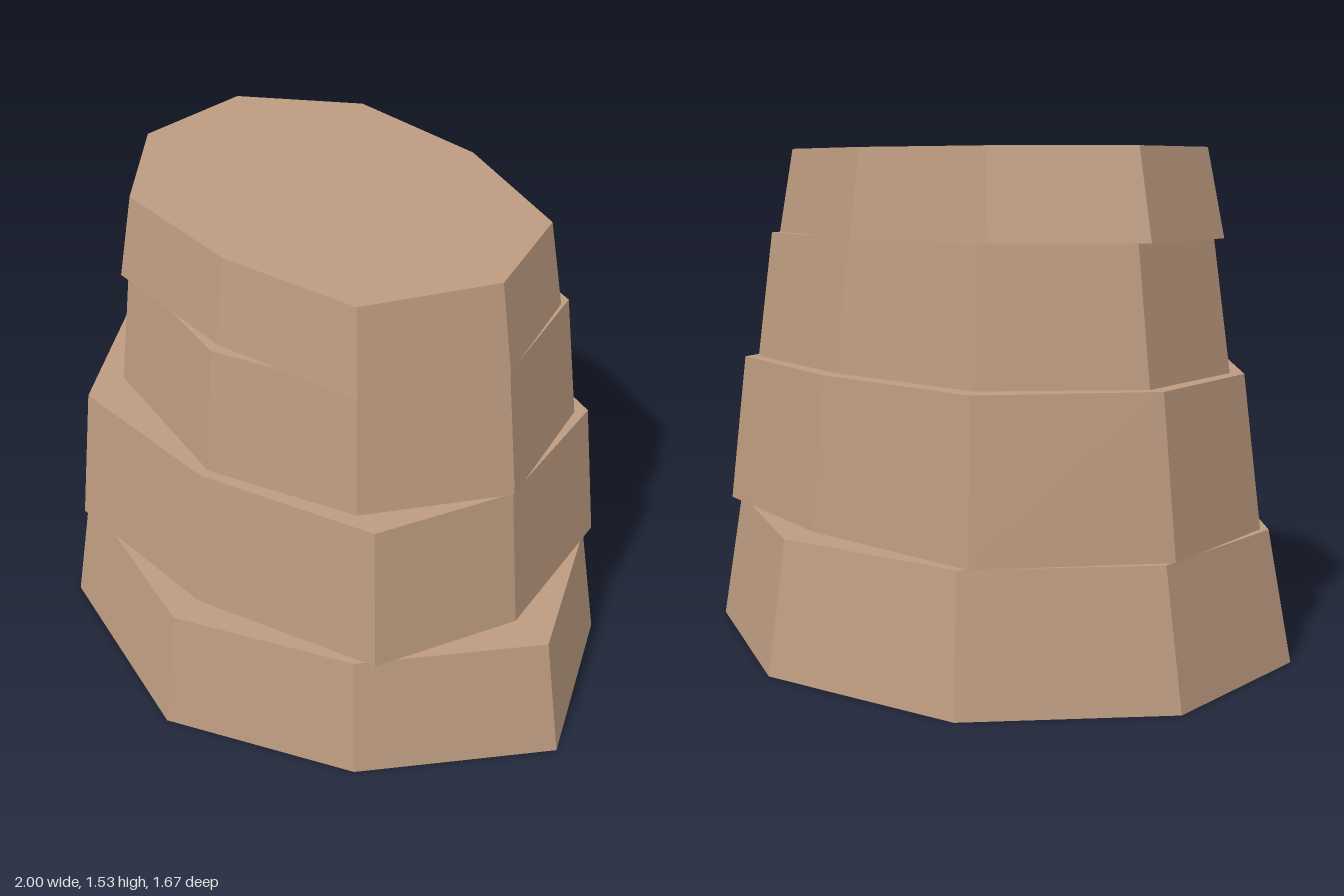
import * as THREE from 'three';

// Each tier: y range, taper toward the top, and its base outline as [x, z] from +x round through +z
const TIERS = [
  { name: 'baseTier', y0: 0, y1: 0.4, taper: 0.925, outline: [
    [1, 0], [0.65, 0.53], [0.1, 0.835], [-0.605, 0.695], [-0.98, 0.295],
    [-1, -0.3], [-0.58, -0.755], [0.08, -0.84], [0.7, -0.505]] },
  { name: 'lowerTier', y0: 0.4, y1: 0.865, taper: 0.935, outline: [
    [0.79, 0], [0.65, 0.45], [0.08, 0.67], [-0.515, 0.69], [-0.885, 0.26],
    [-0.93, -0.24], [-0.56, -0.675], [0.08, -0.66], [0.65, -0.505]] },
  { name: 'upperTier', y0: 0.865, y1: 1.265, taper: 0.93, outline: [
    [0.745, 0], [0.515, 0.405], [0.07, 0.595], [-0.49, 0.505], [-0.785, 0.23],
    [-0.82, -0.22], [-0.48, -0.565], [0.07, -0.56], [0.585, -0.435]] },
  { name: 'topTier', y0: 1.265, y1: 1.53, taper: 0.93, outline: [
    [0.695, 0], [0.515, 0.405], [0.05, 0.52], [-0.445, 0.505], [-0.775, 0.2],
    [-0.815, -0.215], [-0.475, -0.505], [0.05, -0.525], [0.545, -0.37]] },
];

// Closed, flat-faced tapered prism
function taperedPrism({ y0, y1, taper, outline }) {
  const bottom = outline.map(([x, z]) => [x, y0, z]);
  const top = outline.map(([x, z]) => [x * taper, y1, z * taper]);
  const points = [];
  const n = outline.length;
  for (let i = 0; i < n; i++) {
    const j = (i + 1) % n;
    points.push(bottom[i], top[i], bottom[j], top[i], top[j], bottom[j]); // side
    points.push([0, y1, 0], top[j], top[i]); // top cap
    points.push([0, y0, 0], bottom[i], bottom[j]); // underside
  }
  const geometry = new THREE.BufferGeometry();
  geometry.setAttribute('position', new THREE.Float32BufferAttribute(points.flat(), 3));
  geometry.computeVertexNormals();
  return geometry;
}

export function createModel() {
  const group = new THREE.Group();
  group.name = 'tieredRock';
  const stone = new THREE.MeshStandardMaterial({ color: 0xbc9a7f, flatShading: true });
  stone.name = 'tan stone';

  for (const tier of TIERS) {
    const mesh = new THREE.Mesh(taperedPrism(tier), stone);
    mesh.name = tier.name;
    group.add(mesh);
  }
  return group;
}
